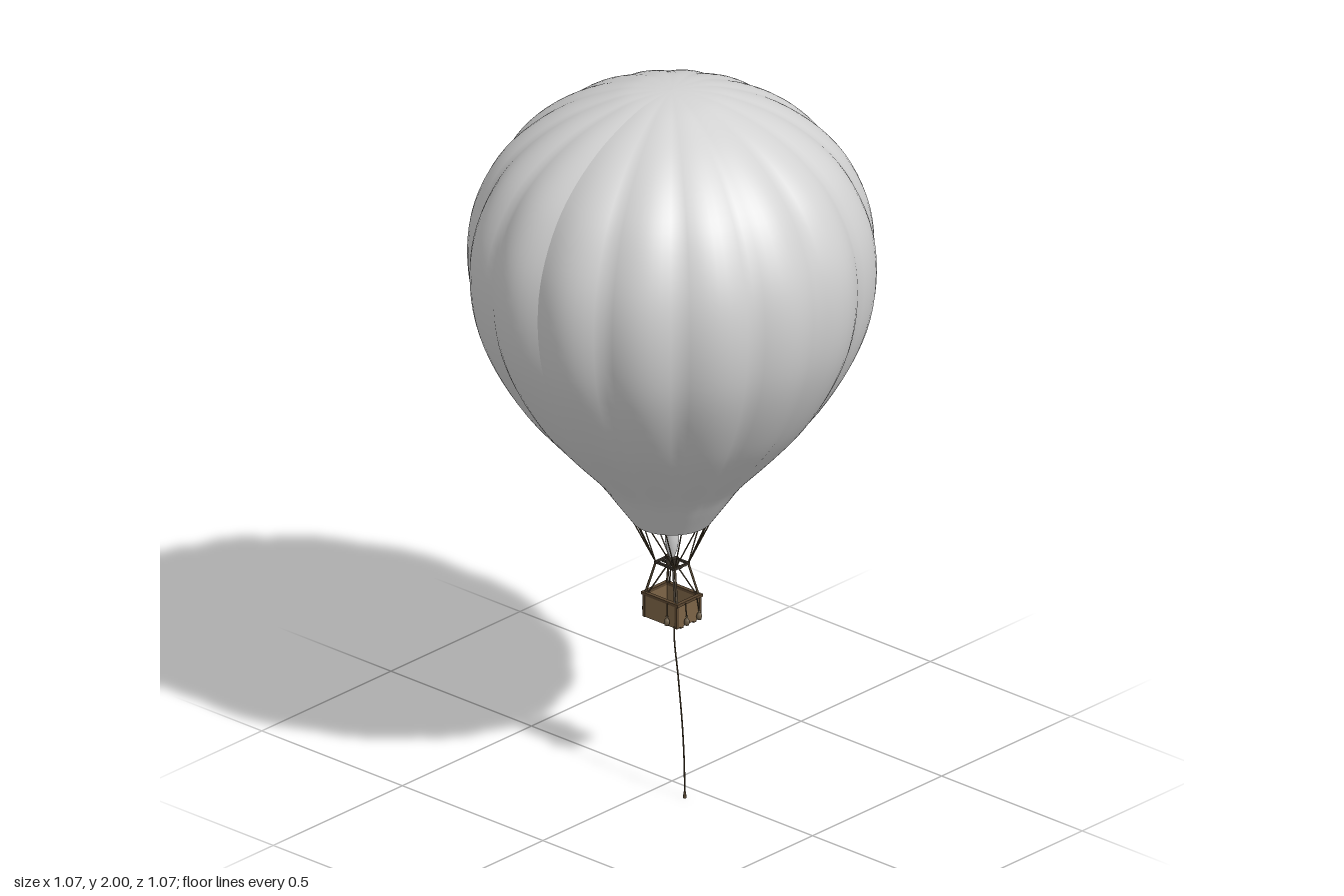
import * as THREE from 'three';

const paint = (name, color, side = THREE.FrontSide) => {
  const m = new THREE.MeshStandardMaterial({ color, side });
  m.name = name;
  return m;
};

export function createModel() {
  const fabric = paint('pale grey fabric', 0xd2d2d2, THREE.DoubleSide);
  const wicker = paint('wicker', 0x7c6446);
  const trim = paint('dark wicker trim', 0x5a4630);
  const rope = paint('rope', 0x51432f);
  const bag = paint('sandbag canvas', 0x6a5b45);
  const metal = paint('burner metal', 0x3c352d);

  const model = new THREE.Group();
  model.name = 'hotAirBalloon';
  const group = (name) => {
    const g = new THREE.Group();
    g.name = name;
    model.add(g);
    return g;
  };
  const add = (parent, name, geometry, material, x = 0, y = 0, z = 0) => {
    const m = new THREE.Mesh(geometry, material);
    m.name = name;
    m.position.set(x, y, z);
    parent.add(m);
    return m;
  };
  const V = (x, y, z) => new THREE.Vector3(x, y, z);
  // straight rod between two points
  const rod = (parent, name, a, b, r, material) => {
    const d = b.clone().sub(a);
    const m = add(parent, name, new THREE.CylinderGeometry(r, r, d.length(), 6), material);
    m.position.copy(a).addScaledVector(d, 0.5);
    m.quaternion.setFromUnitVectors(V(0, 1, 0), d.normalize());
  };

  // envelope: a lathe whose radius swells between sixteen seams
  const GORES = 16;
  const profile = new THREE.SplineCurve([
    [0.106, 0.76], [0.149, 0.82], [0.2, 0.89], [0.292, 0.99], [0.387, 1.105], [0.467, 1.24],
    [0.515, 1.37], [0.531, 1.51], [0.513, 1.64], [0.456, 1.765], [0.375, 1.857],
    [0.27, 1.93], [0.15, 1.98], [0.07, 1.996], [0, 2],
  ].map(([r, y]) => new THREE.Vector2(r, y))).getPoints(56);
  profile.forEach((p) => { p.x = Math.max(p.x, 0); });
  profile[profile.length - 1].x = 0;
  const envelope = new THREE.LatheGeometry(profile, GORES * 8);
  const pos = envelope.attributes.position;
  for (let i = 0; i < pos.count; i++) {
    const x = pos.getX(i), y = pos.getY(i), z = pos.getZ(i);
    const bulge = Math.abs(Math.sin(Math.atan2(x, z) * GORES / 2));
    const fade = THREE.MathUtils.smoothstep(y, 0.76, 1.1);
    const k = 1 + fade * (-0.02 + 0.04 * bulge);
    pos.setXYZ(i, x * k, y, z * k);
  }
  envelope.computeVertexNormals();
  add(model, 'envelope', envelope, fabric);

  // mouth cables gathering to the burner frame
  const cables = group('mouthCables');
  for (let i = 0; i < GORES; i++) {
    const a = (i + 0.5) / GORES * Math.PI * 2;
    const corner = V(Math.sign(Math.sin(a)) * 0.034, 0.632, Math.sign(Math.cos(a)) * 0.026);
    rod(cables, 'cable', V(Math.sin(a) * 0.105, 0.763, Math.cos(a) * 0.105), corner, 0.0018, rope);
  }

  // burner with its frame and flame
  const burner = group('burner');
  for (const s of [-1, 1]) {
    add(burner, 'frameBar', new THREE.BoxGeometry(0.074, 0.006, 0.006), metal, 0, 0.632, s * 0.026);
    add(burner, 'frameBar', new THREE.BoxGeometry(0.006, 0.006, 0.052), metal, s * 0.034, 0.632, 0);
    add(burner, 'burnerCan', new THREE.CylinderGeometry(0.01, 0.008, 0.03, 12), metal, s * 0.011, 0.635, 0);
  }
  add(burner, 'crossBar', new THREE.BoxGeometry(0.068, 0.005, 0.008), metal, 0, 0.628, 0);
  const flame = [[0.006, 0.648], [0.014, 0.67], [0.019, 0.7], [0.018, 0.73], [0.01, 0.77], [0, 0.8]];
  add(burner, 'flame', new THREE.LatheGeometry(flame.map(([r, y]) => new THREE.Vector2(r, y)), 16), fabric);

  // uprights between basket corners and burner frame
  const uprights = group('uprights');
  for (const sx of [-1, 1]) for (const sz of [-1, 1]) {
    const foot = V(sx * 0.056, 0.542, sz * 0.042);
    rod(uprights, 'pole', foot, V(sx * 0.034, 0.632, sz * 0.026), 0.0032, rope);
    rod(uprights, 'stay', V(sx * 0.048, 0.542, sz * 0.042), V(sx * 0.008, 0.628, sz * 0.006), 0.002, rope);
  }

  // open basket with floor, rim, corner posts and skids
  const basket = group('basket');
  add(basket, 'floor', new THREE.BoxGeometry(0.114, 0.006, 0.09), wicker, 0, 0.478, 0);
  for (const s of [-1, 1]) {
    add(basket, 'longWall', new THREE.BoxGeometry(0.12, 0.065, 0.006), wicker, 0, 0.507, s * 0.044);
    add(basket, 'shortWall', new THREE.BoxGeometry(0.006, 0.065, 0.088), wicker, s * 0.057, 0.507, 0);
    add(basket, 'longRim', new THREE.BoxGeometry(0.13, 0.008, 0.011), trim, 0, 0.541, s * 0.044);
    add(basket, 'shortRim', new THREE.BoxGeometry(0.011, 0.008, 0.09), trim, s * 0.059, 0.541, 0);
    add(basket, 'skid', new THREE.BoxGeometry(0.118, 0.006, 0.01), trim, 0, 0.472, s * 0.025);
    for (const t of [-1, 1]) {
      add(basket, 'cornerPost', new THREE.BoxGeometry(0.008, 0.066, 0.008), trim, s * 0.057, 0.507, t * 0.044);
    }
  }

  // sandbags hung from the rim
  const sandbags = group('sandbags');
  const sack = [[0, -0.013], [0.006, -0.011], [0.008, -0.003], [0.006, 0.005], [0.002, 0.01], [0.004, 0.014], [0, 0.014]]
    .map(([r, y]) => new THREE.Vector2(r, y));
  for (const s of [-1, 1]) {
    for (const [x, z] of [[s * 0.071, s * 0.02], [s * 0.071, s * -0.028], [s * 0.033, s * 0.056]]) {
      add(sandbags, 'sandbag', new THREE.LatheGeometry(sack, 10), bag, x, 0.492, z);
      rod(sandbags, 'sandbagCord', V(x, 0.502, z), V(x * 0.92, 0.541, z * 0.92), 0.0015, rope);
    }
  }

  // trailing drag rope with an end weight
  const trail = group('dragRope');
  const path = new THREE.CatmullRomCurve3([
    V(0.05, 0.538, 0.03), V(0.053, 0.47, 0.049), V(0.073, 0.34, 0.055),
    V(0.09, 0.21, 0.058), V(0.095, 0.1, 0.056), V(0.095, 0.012, 0.054),
  ]);
  add(trail, 'rope', new THREE.TubeGeometry(path, 40, 0.0022, 6), rope);
  add(trail, 'endWeight', new THREE.CylinderGeometry(0.003, 0.005, 0.018, 8), rope, 0.095, 0.009, 0.054);

  return model;
}
